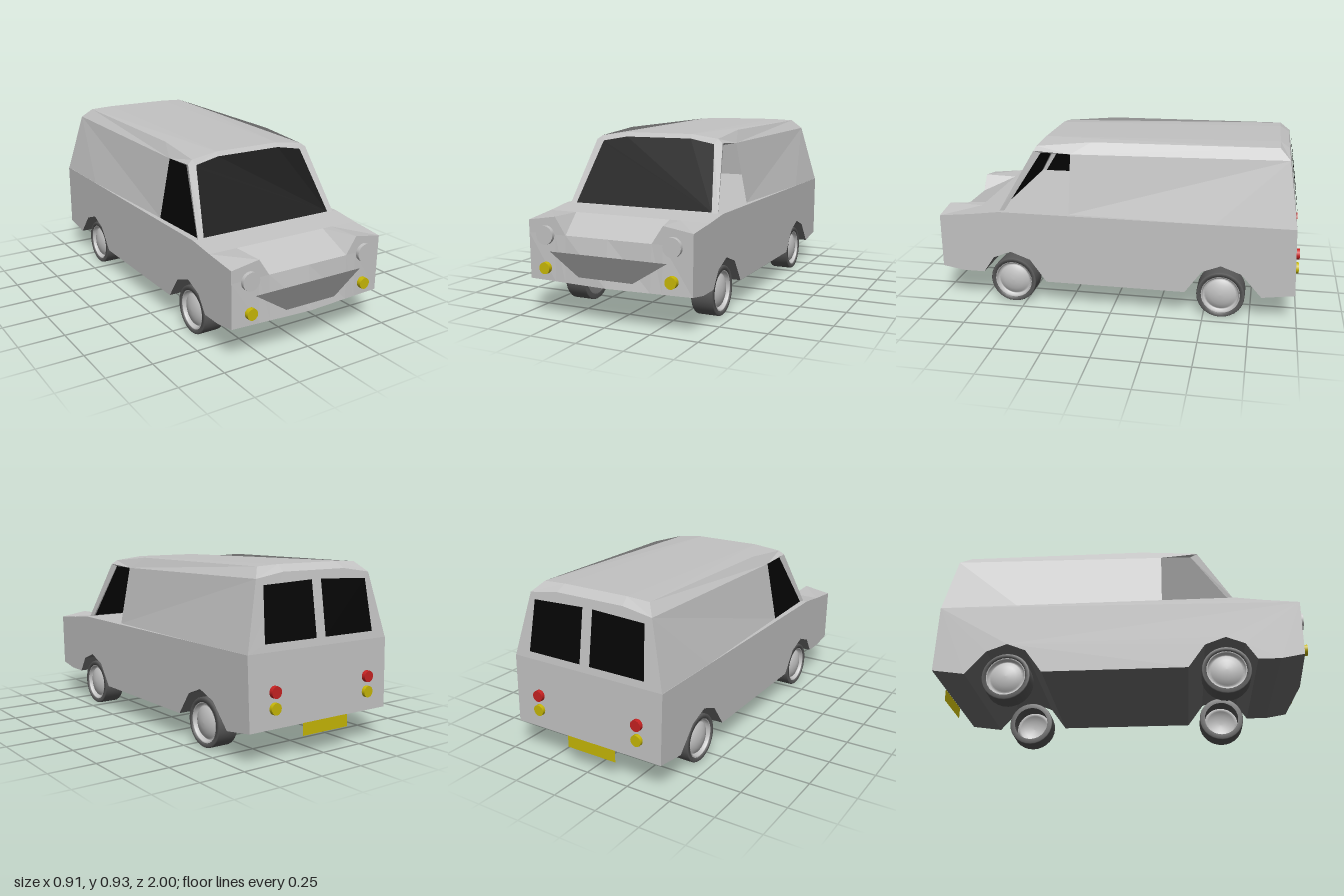
import * as THREE from 'three';

const mat = (name, color) => new THREE.MeshStandardMaterial({ name, color, side: THREE.DoubleSide });
const paint = mat('silver paint', 0xc3c3c3);
const glass = mat('black glass', 0x050505);
const amber = mat('yellow', 0xc8b806);
const red = mat('red', 0xc82222);
const rubber = mat('dark rubber', 0x5a5a5a);
const darkGrey = mat('dark grey', 0x767676);

const flip = ([x, y, z]) => [-x, y, z];

// Flat polygons, each fanned from its first corner, as one faceted mesh
function panels(name, material, polys) {
  const pos = [];
  for (const p of polys)
    for (let i = 1; i < p.length - 1; i++) pos.push(...p[0], ...p[i], ...p[i + 1]);
  const g = new THREE.BufferGeometry();
  g.setAttribute('position', new THREE.Float32BufferAttribute(pos, 3));
  g.computeVertexNormals();
  const m = new THREE.Mesh(g, material);
  m.name = name;
  return m;
}

// Quads joining two closed point rows
function strip(a, b) {
  return a.map((p, i) => {
    const j = (i + 1) % a.length;
    return [p, a[j], b[j], b[i]];
  });
}

// Round lamp facing along z
function lamp(name, material, r, x, y, z, depth) {
  const m = new THREE.Mesh(new THREE.CylinderGeometry(r, r, depth, 20), material);
  m.rotation.x = Math.PI / 2;
  m.position.set(x, y, z);
  m.name = name;
  return m;
}

const arch = (z) => [[z + 0.1, 0.27], [z, 0.31], [z - 0.11, 0.27]];

// Lower body: side profile carried across the width, with a dropped hood centre and bowed nose
function lowerBody() {
  const section = (x, hoodY) => [
    [-0.985, 0.17], [-0.972, 0.54], [0.63, 0.54], [0.78, 0.52], [0.97, hoodY], [0.97, 0.435],
    [0.97 + 0.03 * Math.max(0, 1 - Math.abs(x) / 0.452), 0.2], [0.85, 0.18], [0.73, 0.18],
    ...arch(0.57), [0.37, 0.145], [-0.4, 0.145], ...arch(-0.59), [-0.81, 0.145],
  ].map(([z, y]) => [x * (0.98 + 0.02 * Math.min(1, y / 0.54)), y, z]);
  const half = [[0.457, 0.5], [0.3, 0.525], [0.24, 0.435]];
  const stations = [...half.map(([x, h]) => [-x, h]), [0, 0.435], ...half.slice().reverse()];
  const rows = stations.map(([x, h]) => section(x, h));
  const skin = [], floor = [];
  for (let i = 0; i < rows.length - 1; i++)
    strip(rows[i], rows[i + 1]).forEach((quad, k) => (k < 6 ? skin : floor).push(quad));
  // Flat sides
  for (const row of [rows[0], rows[rows.length - 1]]) {
    const pts = row.filter((_, i) => i !== 5);
    const outline = pts.map(([, y, z]) => new THREE.Vector2(z, y));
    for (const t of THREE.ShapeUtils.triangulateShape(outline, [])) skin.push(t.map((i) => pts[i]));
  }
  const g = new THREE.Group();
  g.name = 'lowerBody';
  g.add(panels('lowerShell', paint, skin), panels('underside', darkGrey, floor));
  return g;
}

// Upper body: sides, roof, windscreen and rear wall
function upperBody() {
  const g = new THREE.Group();
  g.name = 'upperBody';
  const B0 = [0.455, 0.54, -0.972], B1 = [0.455, 0.54, -0.55], B2 = [0.43, 0.54, 0.24], B3 = [0.43, 0.54, 0.63];
  const S0 = [0.37, 0.88, -0.92], S2 = [0.368, 0.86, 0.24], S3 = [0.374, 0.872, 0.442];
  const R0 = [0.32, 0.932, -0.865], R2 = [0.332, 0.923, 0.13], R3 = [0.345, 0.893, 0.432];
  const C0 = [0.19, 0.938, -0.865], C3 = [0.19, 0.913, 0.42];
  const T0 = [0.2, 0.905, -0.915];
  const W1 = [0.42, 0.54, 0.605], W2 = [0.362, 0.86, 0.405];

  const side = [
    [S0, B0, B1, B2, S2],
    [W2, W1, B3, S3, S2],
    [S2, S0, R0, R2, R3, S3],
    [R0, C0, C3, R3, R2],
    [S0, T0, C0, R0],
  ];
  const centre = [[C0, flip(C0), flip(C3), C3], [T0, flip(T0), flip(C0), C0]];
  g.add(panels('sidesAndRoof', paint, [...side, ...side.map((p) => p.map(flip)), ...centre]));
  g.add(panels('rearWall', paint, [[B0, S0, T0, flip(T0), flip(S0), flip(B0)]]));

  // Windscreen with its frame
  const both = (a) => [...a, ...a.slice().reverse().map(flip)];
  const outer = both([B3, S3, R3, C3]);
  const inner = both([[0.395, 0.543, 0.628], [0.332, 0.855, 0.454], [0.328, 0.866, 0.448], [0.19, 0.89, 0.435]]);
  g.add(panels('windscreenFrame', paint, strip(outer, inner)));
  g.add(panels('windscreen', glass, [inner]));

  // Right door is glazed, left door window stands open
  g.add(panels('rightDoorWindow', glass, [[B2, W1, W2, S2].map(flip)]));

  // Rear door windows
  const pane = [[0.03, 0.58], [0.355, 0.58], [0.335, 0.85], [0.03, 0.862]]
    .map(([x, y]) => [x, y, -0.979 + (y - 0.54) * 0.153]);
  g.add(panels('rearWindows', glass, [pane, pane.map(flip)]));
  return g;
}

// Tyre open on the inner side, with a domed hub
function wheel(side, z) {
  const g = new THREE.Group();
  g.name = 'wheel';
  const lathe = (pts) => new THREE.LatheGeometry(pts.map(([r, h]) => new THREE.Vector2(r, h)), 28);
  const tyre = new THREE.Mesh(
    lathe([[0.1, -0.06], [0.126, -0.06], [0.13, -0.054], [0.13, 0.054], [0.126, 0.06], [0.106, 0.06], [0.1, 0.03], [0.1, -0.06]]),
    rubber);
  tyre.name = 'tyre';
  const hub = new THREE.Mesh(
    lathe([[0.106, 0.056], [0.097, 0.056], [0.095, 0.03], [0.082, 0.043], [0.055, 0.055], [0.025, 0.062], [0, 0.063]]),
    paint);
  hub.name = 'hub';
  g.add(tyre, hub);
  g.rotation.z = -side * Math.PI / 2;
  g.position.set(side * 0.372, 0.134, z);
  return g;
}

export function createModel() {
  const van = new THREE.Group();
  van.name = 'van';
  van.add(lowerBody(), upperBody());

  // Flat grille on the bowed nose
  van.add(panels('grille', darkGrey, [[[-0.325, 0.35, 0.984], [-0.15, 0.24, 0.998], [0.15, 0.24, 0.998], [0.325, 0.35, 0.984]]]));

  // Rear plate below the tail
  van.add(panels('rearPlate', amber, [[[-0.18, 0.107, -0.987], [-0.18, 0.172, -0.987], [0.12, 0.172, -0.987], [0.12, 0.107, -0.987]]]));

  for (const s of [-1, 1]) {
    van.add(lamp('headlight', paint, 0.048, s * 0.353, 0.43, 0.965, 0.05));
    van.add(lamp('frontIndicator', amber, 0.03, s * 0.35, 0.265, 0.982, 0.036));
    van.add(lamp('tailLight', red, 0.03, s * 0.308 - 0.008, 0.35, -0.985, 0.03));
    van.add(lamp('rearIndicator', amber, 0.03, s * 0.308 - 0.008, 0.27, -0.985, 0.03));
    for (const z of [0.567, -0.592]) van.add(wheel(s, z));
  }

  // The body sits slightly off the centre line
  for (const part of van.children) part.position.x += 0.008;
  return van;
}
